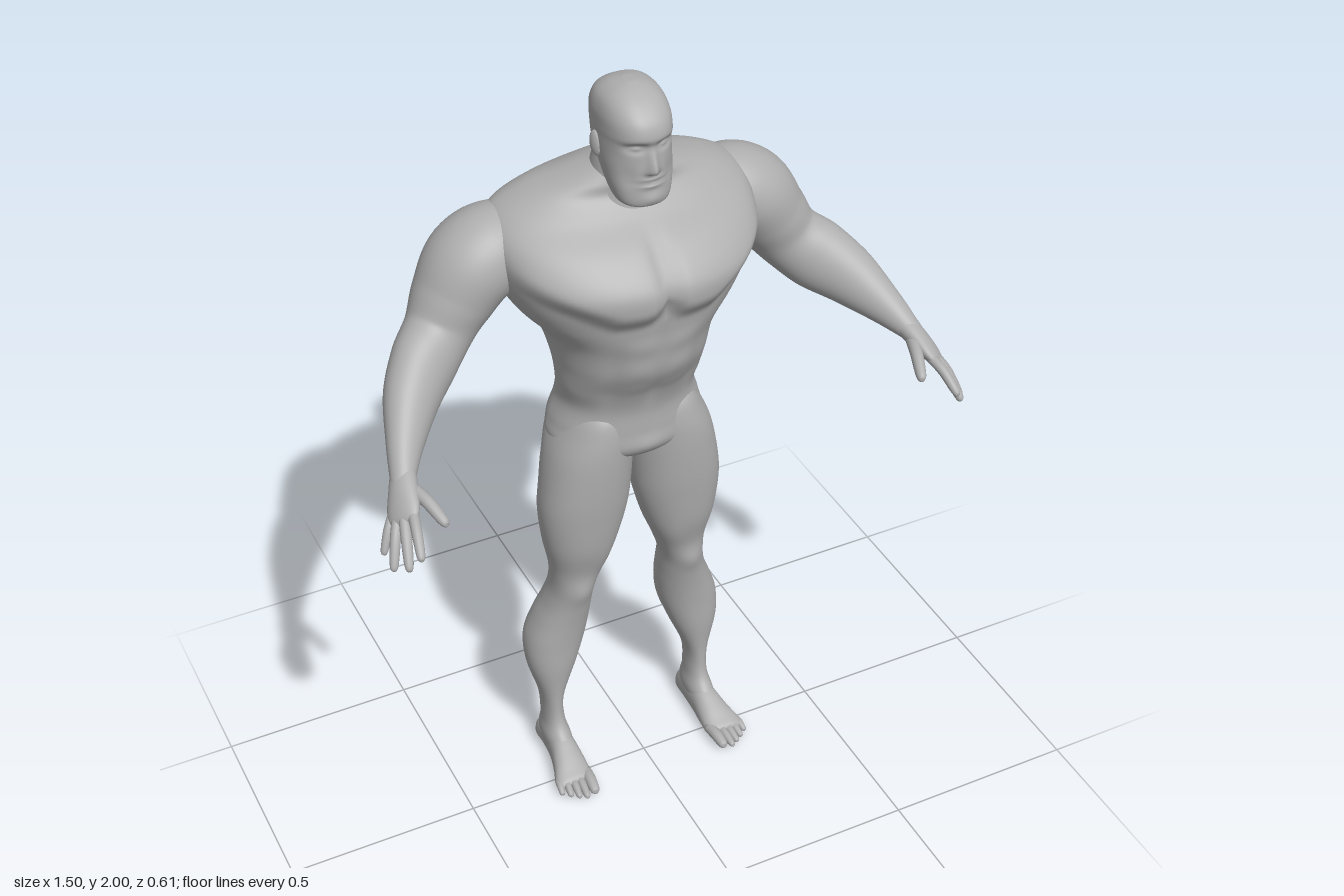
import * as THREE from 'three';

const skin = new THREE.MeshStandardMaterial({ color: 0xaeaeae });
skin.name = 'grey clay';

const V = (x, y, z) => new THREE.Vector3(x, y, z);
const ss = THREE.MathUtils.smoothstep;
const bell = (d, s) => Math.exp(-(d * d) / (s * s));
const band = (y, a, b, f) => ss(y, a - f, a + f) * (1 - ss(y, b - f, b + f));
const power = (c, n) => Math.sign(c) * Math.pow(Math.abs(c), 2 / n);

// Smoothly interpolate a row of numbers through the given key rows
function sample(rows, s) {
  const i = Math.min(Math.floor(s), rows.length - 2), t = s - i;
  const at = (k) => rows[Math.max(0, Math.min(rows.length - 1, k))];
  const [a, b, c, d] = [at(i - 1), at(i), at(i + 1), at(i + 2)];
  return b.map((_, k) => b[k] + 0.5 * t * (c[k] - a[k]
    + t * (2 * a[k] - 5 * b[k] + 4 * c[k] - d[k] + t * (3 * (b[k] - c[k]) + d[k] - a[k]))));
}

// Skin closed rings into a smooth surface with capped ends, facing outwards
function loft(rows, steps, seg, point, rule) {
  const pos = [], idx = [], n = (rows.length - 1) * steps;
  for (let i = 0; i <= n; i++) {
    for (let j = 0; j < seg; j++) {
      const p = point(i / steps, (j / seg) * Math.PI * 2);
      if (rule) rule(p);
      pos.push(p.x, p.y, p.z);
      if (i < n) {
        const a = i * seg + j, b = i * seg + (j + 1) % seg;
        idx.push(a, b, a + seg, b, b + seg, a + seg);
      }
    }
  }
  [0, n].forEach((ring, end) => {
    const c = V(0, 0, 0), base = ring * seg, pole = pos.length / 3;
    for (let j = 0; j < seg; j++) c.add(V().fromArray(pos, (base + j) * 3));
    c.divideScalar(seg);
    pos.push(c.x, c.y, c.z);
    for (let j = 0; j < seg; j++) {
      const a = base + j, b = base + (j + 1) % seg;
      if (end) idx.push(a, b, pole); else idx.push(b, a, pole);
    }
  });
  let volume = 0;
  const p = (k) => V().fromArray(pos, k * 3);
  for (let k = 0; k < idx.length; k += 3) volume += p(idx[k]).dot(p(idx[k + 1]).cross(p(idx[k + 2])));
  if (volume < 0) idx.reverse();
  const g = new THREE.BufferGeometry();
  g.setAttribute('position', new THREE.Float32BufferAttribute(pos, 3));
  g.setIndex(idx);
  g.computeVertexNormals();
  return g;
}

// Rows [level, x0, x1, back, front]: superellipse slices, widest at "mid"
function slices(rows, { steps = 6, seg = 48, n = 2, mid = 0.5, along = 'y', rule } = {}) {
  return loft(rows, steps, seg, (s, a) => {
    const [t, x0, x1, b, f] = sample(rows, s);
    const c = b + (f - b) * mid, k = power(Math.sin(a), n);
    const x = (x0 + x1) / 2 + (x1 - x0) / 2 * power(Math.cos(a), n);
    const d = c + (k > 0 ? f - c : c - b) * k;
    return along === 'y' ? V(x, t, d) : V(x, d, t);
  }, rule);
}

// Rows [x, y, z, ru, rv]: oval tube along a path; "side" sets the ru direction
function limb(rows, side, steps = 6, seg = 32) {
  const at = (s) => V(...sample(rows, s).slice(0, 3)), last = rows.length - 1;
  return loft(rows, steps, seg, (s, a) => {
    const r = sample(rows, s);
    const T = at(Math.min(last, s + 0.05)).sub(at(Math.max(0, s - 0.05))).normalize();
    const u = side.clone().addScaledVector(T, -side.dot(T)).normalize();
    const v = T.clone().cross(u);
    return V(r[0], r[1], r[2]).addScaledVector(u, r[3] * Math.cos(a)).addScaledVector(v, r[4] * Math.sin(a));
  });
}

// Tapering digit with a rounded tip
function digit(a, b, r, bend, side) {
  const row = (t, k, lift = 0) => [0, 1, 2].map((i) => a[i] + (b[i] - a[i]) * t + (i === 1 ? lift : 0)).concat(r * k, r * k);
  return limb([row(0, 1), row(0.45, 1, bend), row(0.85, 0.85, bend * 0.3), row(0.97, 0.55), row(1, 0.1)], side, 4, 14);
}

export function createModel() {
  const model = new THREE.Group();
  model.name = 'muscularFigure';
  const add = (name, g) => {
    const m = new THREE.Mesh(g, skin);
    m.name = name;
    model.add(m);
  };
  const pair = (name, g) => {
    add(name + 'Left', g);
    const h = g.clone().scale(-1, 1, 1);
    h.setIndex(Array.from(g.index.array).reverse());
    h.computeVertexNormals();
    add(name + 'Right', h);
  };

  // Torso and hips with chest shelf, breastbone, belly line, spine furrow and cleft
  const trunk = [
    [1.0, 0.03, -0.12, -0.02], [1.02, 0.13, -0.17, 0.01], [1.05, 0.197, -0.208, 0.026], [1.1, 0.194, -0.23, 0.027],
    [1.165, 0.176, -0.218, 0.029], [1.23, 0.182, -0.192, 0.05], [1.3, 0.189, -0.225, 0.088], [1.38, 0.212, -0.268, 0.104],
    [1.45, 0.27, -0.292, 0.112], [1.51, 0.305, -0.302, 0.118], [1.57, 0.325, -0.308, 0.115], [1.64, 0.33, -0.302, 0.07],
    [1.69, 0.305, -0.285, 0.005], [1.73, 0.235, -0.255, -0.035], [1.76, 0.155, -0.222, -0.035],
    [1.785, 0.1, -0.185, -0.04], [1.8, 0.07, -0.15, -0.05],
  ].map(([y, w, b, f]) => [y, -w, w, b, f]);
  add('torso', slices(trunk, {
    steps: 8, seg: 112, n: 2.2, mid: 0.4,
    rule: (p) => {
      const x = Math.abs(p.x), y = p.y, front = ss(p.z, -0.12, 0.0), back = 1 - ss(p.z, -0.22, -0.13);
      const edge = 1.478 + 0.5 * Math.max(0, x - 0.12) + 0.025 * bell(x, 0.03);
      p.z += front * (0.03 * ss(y, edge - 0.022, edge + 0.045) * (1 - ss(y, 1.56, 1.7))
        - 0.022 * bell(x, 0.018) * band(y, 1.5, 1.66, 0.03)
        - 0.005 * bell(x, 0.014) * band(y, 1.2, 1.45, 0.04)
        - 0.006 * bell(x - 0.105, 0.025) * band(y, 1.2, 1.38, 0.05)
        + 0.0012 * Math.cos((y - 1.4) * 80) * bell(x - 0.05, 0.04) * band(y, 1.24, 1.44, 0.03)
        + 0.006 * bell(x, 0.04) * bell(y - 1.055, 0.025));
      p.z += back * (0.035 * bell(x, 0.035) * band(y, 1.22, 1.7, 0.05)
        + 0.03 * bell(x, 0.026) * (1 - ss(y, 1.14, 1.2))
        + 0.01 * bell(x - 0.17, 0.045) * band(y, 1.4, 1.52, 0.04)
        - 0.008 * bell(x - 0.17, 0.08) * bell(y - 1.6, 0.06));
    },
  }));

  // Neck and head
  add('neck', slices([[1.66, -0.125, 0.125, -0.23, 0.0], [1.73, -0.1, 0.1, -0.2, -0.015],
    [1.77, -0.088, 0.088, -0.176, -0.02], [1.81, -0.08, 0.08, -0.16, -0.02], [1.86, -0.068, 0.068, -0.148, -0.02]]));
  const skull = [
    [1.732, 0.035, -0.04, 0.03], [1.74, 0.06, -0.06, 0.042], [1.775, 0.073, -0.09, 0.044], [1.82, 0.079, -0.13, 0.044],
    [1.86, 0.081, -0.16, 0.042], [1.885, 0.081, -0.17, 0.045], [1.907, 0.081, -0.175, 0.051], [1.94, 0.079, -0.174, 0.04],
    [1.97, 0.068, -0.156, 0.01], [1.99, 0.044, -0.125, -0.025], [2.0, 0.012, -0.09, -0.055],
  ].map(([y, w, b, f]) => [y, -w, w, b, f]);
  add('head', slices(skull, {
    steps: 8, seg: 128, n: 2.4, mid: 0.45,
    rule: (p) => {
      const x = Math.abs(p.x), y = p.y;
      p.z += ss(p.z, -0.02, 0.02) * (
        0.022 * bell(x, 0.011 + 0.1 * Math.max(0, 1.86 - y)) * ss(y, 1.813, 1.828) * (1 - ss(y, 1.83, 1.9))
        - 0.014 * bell(x - 0.034, 0.022) * bell(y - 1.884, 0.012)
        + 0.008 * bell(x - 0.034, 0.012) * bell(y - 1.882, 0.006)
        + 0.006 * bell(x, 0.024) * (bell(y - 1.804, 0.006) + bell(y - 1.79, 0.006))
        - 0.006 * bell(x, 0.03) * bell(y - 1.797, 0.003)
        + 0.006 * bell(x, 0.025) * bell(y - 1.755, 0.016)
        - 0.005 * bell(x - 0.05, 0.018) * bell(y - 1.81, 0.03));
    },
  }));
  pair('ear', new THREE.SphereGeometry(1, 20, 14).scale(0.009, 0.03, 0.017).rotateY(-0.35).rotateX(-0.2).translate(0.083, 1.858, -0.073));

  // Arms from the shoulder cap to the wrist
  pair('arm', limb([
    [0.2, 1.61, -0.17, 0.06, 0.06], [0.28, 1.603, -0.17, 0.104, 0.099], [0.355, 1.57, -0.165, 0.115, 0.107],
    [0.412, 1.497, -0.155, 0.1, 0.095], [0.458, 1.432, -0.135, 0.08, 0.084], [0.515, 1.385, -0.092, 0.071, 0.089],
    [0.572, 1.343, -0.03, 0.061, 0.075], [0.624, 1.293, 0.055, 0.042, 0.049], [0.655, 1.258, 0.115, 0.031, 0.031],
    [0.668, 1.242, 0.14, 0.026, 0.024],
  ], V(0.3, 0, -1), 7, 48));

  // Hands
  const span = V(0.04, -0.025, -0.055);
  pair('palm', limb([
    [0.648, 1.265, 0.1, 0.028, 0.027], [0.665, 1.243, 0.14, 0.036, 0.026], [0.682, 1.216, 0.18, 0.043, 0.021],
    [0.692, 1.2, 0.202, 0.038, 0.014], [0.695, 1.194, 0.21, 0.02, 0.005],
  ], span));
  [
    ['indexFinger', [0.67, 1.218, 0.205], [0.692, 1.16, 0.306], 0.0125],
    ['middleFinger', [0.688, 1.208, 0.197], [0.716, 1.125, 0.288], 0.013],
    ['ringFinger', [0.7, 1.198, 0.185], [0.74, 1.106, 0.25], 0.0125],
    ['littleFinger', [0.705, 1.193, 0.167], [0.744, 1.118, 0.2], 0.011],
    ['thumb', [0.652, 1.242, 0.145], [0.612, 1.203, 0.265], 0.0155],
  ].forEach(([name, a, b, r]) => pair(name, digit(a, b, r, 0.01, span)));

  // Legs, growing out of the hips, with thigh, knee and calf
  pair('leg', slices([
    [1.17, 0.06, 0.12, -0.15, -0.03], [1.14, 0.022, 0.158, -0.208, 0.008], [1.09, 0.003, 0.188, -0.231, 0.021],
    [1.02, 0.0, 0.216, -0.212, 0.024], [0.92, 0.006, 0.235, -0.19, 0.019], [0.84, 0.015, 0.242, -0.184, 0.011],
    [0.74, 0.042, 0.232, -0.176, -0.003], [0.65, 0.077, 0.214, -0.168, -0.028], [0.58, 0.1, 0.212, -0.177, -0.036],
    [0.52, 0.103, 0.226, -0.194, -0.047], [0.46, 0.105, 0.25, -0.211, -0.057], [0.39, 0.115, 0.273, -0.219, -0.064],
    [0.31, 0.142, 0.272, -0.2, -0.068], [0.2, 0.184, 0.244, -0.176, -0.077], [0.12, 0.186, 0.241, -0.168, -0.07],
    [0.07, 0.178, 0.248, -0.178, -0.03], [0.02, 0.184, 0.244, -0.17, -0.01],
  ], {
    steps: 6, seg: 64, n: 2.15,
    rule: (p) => {
      const front = ss(p.z, -0.1, -0.05);
      p.z += front * (0.006 * bell(p.x - 0.155, 0.03) * bell(p.y - 0.585, 0.035)
        + 0.006 * bell(p.x - 0.09, 0.035) * bell(p.y - 0.68, 0.05));
      p.z += (1 - ss(p.z, -0.19, -0.12)) * (0.006 * bell(p.x - 0.19, 0.025) * bell(p.y - 0.33, 0.08)
        + 0.006 * bell(p.y - 1.0, 0.025));
    },
  }));

  // Feet and toes
  pair('foot', slices([
    [-0.184, 0.2, 0.225, 0.015, 0.045], [-0.172, 0.183, 0.243, 0, 0.07], [-0.12, 0.178, 0.245, 0, 0.095],
    [-0.06, 0.176, 0.25, 0, 0.09], [-0.01, 0.173, 0.262, 0, 0.068], [0.03, 0.173, 0.275, 0, 0.046],
    [0.05, 0.178, 0.273, 0.003, 0.035], [0.058, 0.19, 0.262, 0.008, 0.025],
  ], { along: 'z', n: 2.3, mid: 0.35 }));
  for (let i = 0; i < 5; i++) {
    const r = i ? 0.0115 - i * 0.0006 : 0.0155, x = i ? 0.196 + i * 0.0185 : 0.19;
    pair('toe' + (i + 1), digit([x - 0.004, 0.02, 0.025], [x + 0.002, r, [0.106, 0.11, 0.1, 0.086, 0.07][i]], r, 0.005, V(1, 0, 0)));
  }
  return model;
}
